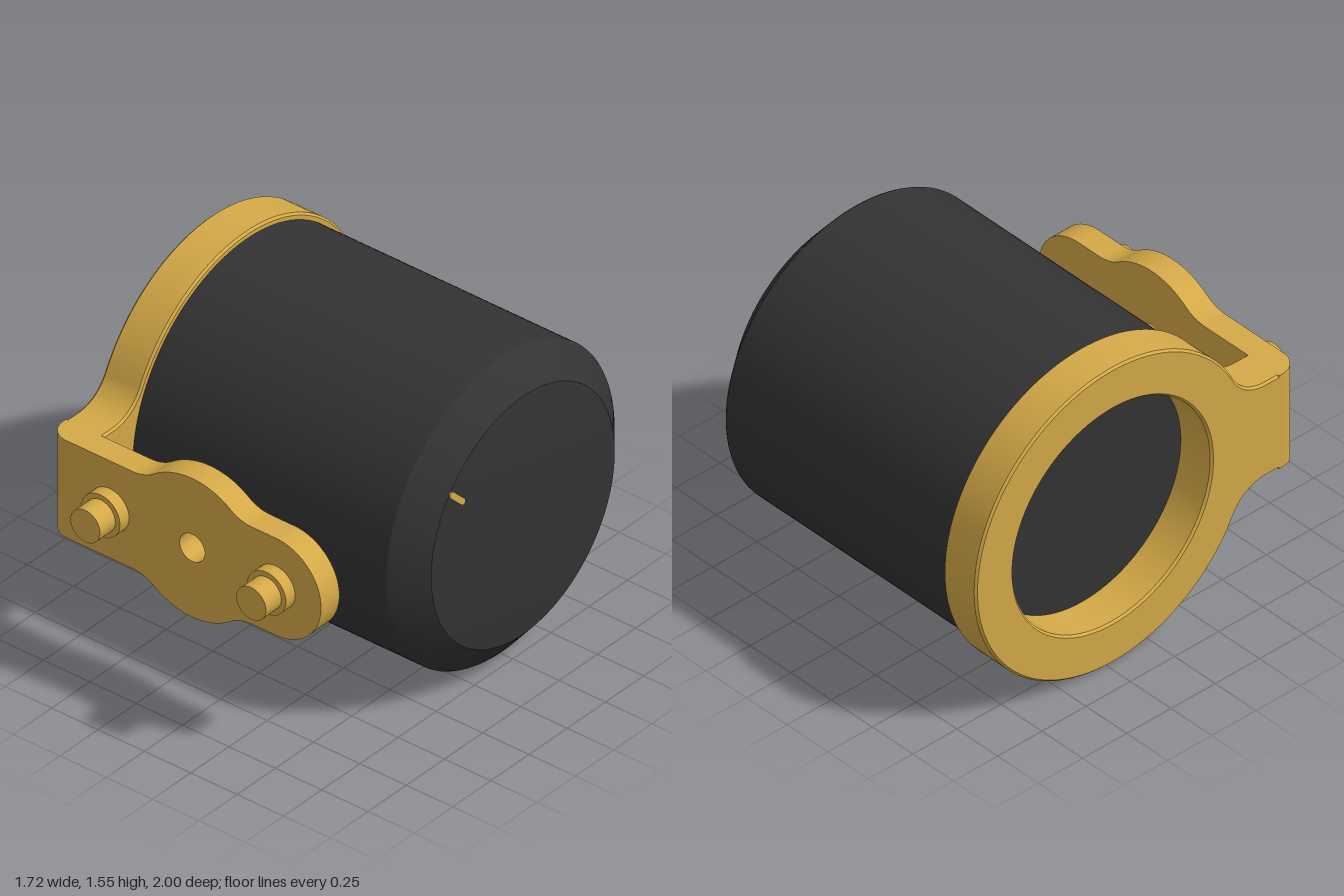
import * as THREE from 'three';
import { toCreasedNormals } from 'three/addons/utils/BufferGeometryUtils.js';

const CY = 0.78, CZ = -0.22; // axis of the cup, parallel to x
const HALF = 0.245;          // half height of the bracket arm
const FILLET = 0.2;

// Where a fillet between the arm edge and a disc of radius r is centred
function filletAt(r) {
  const d = Math.sqrt((r + FILLET) ** 2 - (HALF + FILLET) ** 2);
  return { d, a: Math.atan2(HALF + FILLET, d) };
}

function extrude(shape, depth, bevel = 0) {
  const g = new THREE.ExtrudeGeometry(shape, {
    depth: depth - 2 * bevel, curveSegments: 48, bevelEnabled: bevel > 0,
    bevelThickness: bevel, bevelSize: bevel, bevelOffset: -bevel, bevelSegments: 1,
  });
  g.translate(0, 0, bevel);
  return toCreasedNormals(g, 0.5);
}

function circleHole(r) {
  return new THREE.Path().absarc(0, 0, r, 0, Math.PI * 2, true);
}

export function createModel() {
  const model = new THREE.Group();
  const gold = new THREE.MeshStandardMaterial({ color: 0xd4a947 });
  gold.name = 'gold';
  const black = new THREE.MeshStandardMaterial({ color: 0x333333 });
  black.name = 'charcoal';

  const add = (name, geometry, material, x = 0, y = 0, z = 0) => {
    const mesh = new THREE.Mesh(geometry, material);
    mesh.name = name;
    mesh.position.set(x, y, z);
    model.add(mesh);
    return mesh;
  };

  // Cup: straight wall, chamfer and shallow domed end
  const profile = [[0, -0.67], [0.745, -0.67], [0.745, 0.705], [0.738, 0.716], [0.6, 0.83]];
  for (let i = 1; i <= 10; i++) {
    const r = 0.6 * (1 - i / 10);
    profile.push([r, 0.83 + 0.025 * (1 - (r / 0.6) ** 2)]);
  }
  const cup = new THREE.LatheGeometry(profile.map(([r, h]) => new THREE.Vector2(r, h)), 128);
  cup.rotateZ(-Math.PI / 2);
  add('cup', toCreasedNormals(cup, 0.35), black, 0, CY, CZ);

  // Ring with a filleted tab reaching to the front
  const f = filletAt(0.775);
  const ring = new THREE.Shape();
  ring.moveTo(-0.95, -HALF);
  ring.lineTo(-f.d, -HALF);
  ring.absarc(-f.d, -HALF - FILLET, FILLET, Math.PI / 2, f.a, true);
  ring.absarc(0, 0, 0.775, f.a - Math.PI, Math.PI - f.a, false);
  ring.absarc(-f.d, HALF + FILLET, FILLET, -f.a, -Math.PI / 2, true);
  ring.lineTo(-0.95, HALF);
  ring.closePath();
  ring.holes.push(circleHole(0.56));
  const ringGeometry = extrude(ring, 0.2, 0.01);
  ringGeometry.rotateY(Math.PI / 2);
  add('ring', ringGeometry, gold, -0.86, CY, CZ);

  // Rounded corner joining the tab to the front plate
  const corner = new THREE.Shape();
  corner.moveTo(-0.86, -0.72);
  corner.lineTo(-0.86, -0.74);
  corner.absarc(-0.76, -0.74, 0.1, Math.PI, Math.PI * 1.5, false);
  corner.lineTo(-0.66, -0.84);
  corner.lineTo(-0.66, -0.72);
  corner.closePath();
  const cornerGeometry = extrude(corner, 2 * HALF);
  cornerGeometry.rotateX(-Math.PI / 2);
  add('bracketCorner', cornerGeometry, gold, 0, CY - HALF, 0);

  // Front plate, drawn about its centre hole
  const PX = -0.08, END = 0.45;
  const p = filletAt(0.35);
  const plate = new THREE.Shape();
  plate.moveTo(-0.66 - PX, -HALF);
  plate.lineTo(-p.d, -HALF);
  plate.absarc(-p.d, -HALF - FILLET, FILLET, Math.PI / 2, p.a, true);
  plate.absarc(0, 0, 0.35, p.a - Math.PI, -p.a, false);
  plate.absarc(p.d, -HALF - FILLET, FILLET, Math.PI - p.a, Math.PI / 2, true);
  plate.absarc(END, 0, HALF, -Math.PI / 2, Math.PI / 2, false);
  plate.absarc(p.d, HALF + FILLET, FILLET, -Math.PI / 2, p.a - Math.PI, true);
  plate.absarc(0, 0, 0.35, p.a, Math.PI - p.a, false);
  plate.absarc(-p.d, HALF + FILLET, FILLET, -p.a, -Math.PI / 2, true);
  plate.lineTo(-0.66 - PX, HALF);
  plate.closePath();
  plate.holes.push(circleHole(0.068));
  add('frontPlate', extrude(plate, 0.12), gold, PX, CY, 0.72);

  // Two stepped pins on the plate
  for (const x of [-0.525, 0.37]) {
    for (const [name, r, z0, z1] of [['pinCollar', 0.105, 0.83, 0.9], ['pin', 0.08, 0.89, 1]]) {
      const g = new THREE.CylinderGeometry(r, r, z1 - z0, 48);
      g.rotateX(Math.PI / 2);
      add(name, g, gold, x, CY, (z0 + z1) / 2);
    }
  }

  // Slim radial indicator mark lying on the domed end
  const mark = new THREE.Shape();
  mark.absarc(-0.045, 0, 0.015, Math.PI / 2, Math.PI * 1.5, false);
  mark.absarc(0.045, 0, 0.015, -Math.PI / 2, Math.PI / 2, false);
  mark.closePath();
  const markGeometry = extrude(mark, 0.009);
  markGeometry.rotateY(0.07);
  markGeometry.rotateZ(Math.PI * 0.75);
  markGeometry.rotateY(Math.PI / 2);
  add('indicatorMark', markGeometry, gold, 0.831, 1.1, 0.218);

  return model;
}
